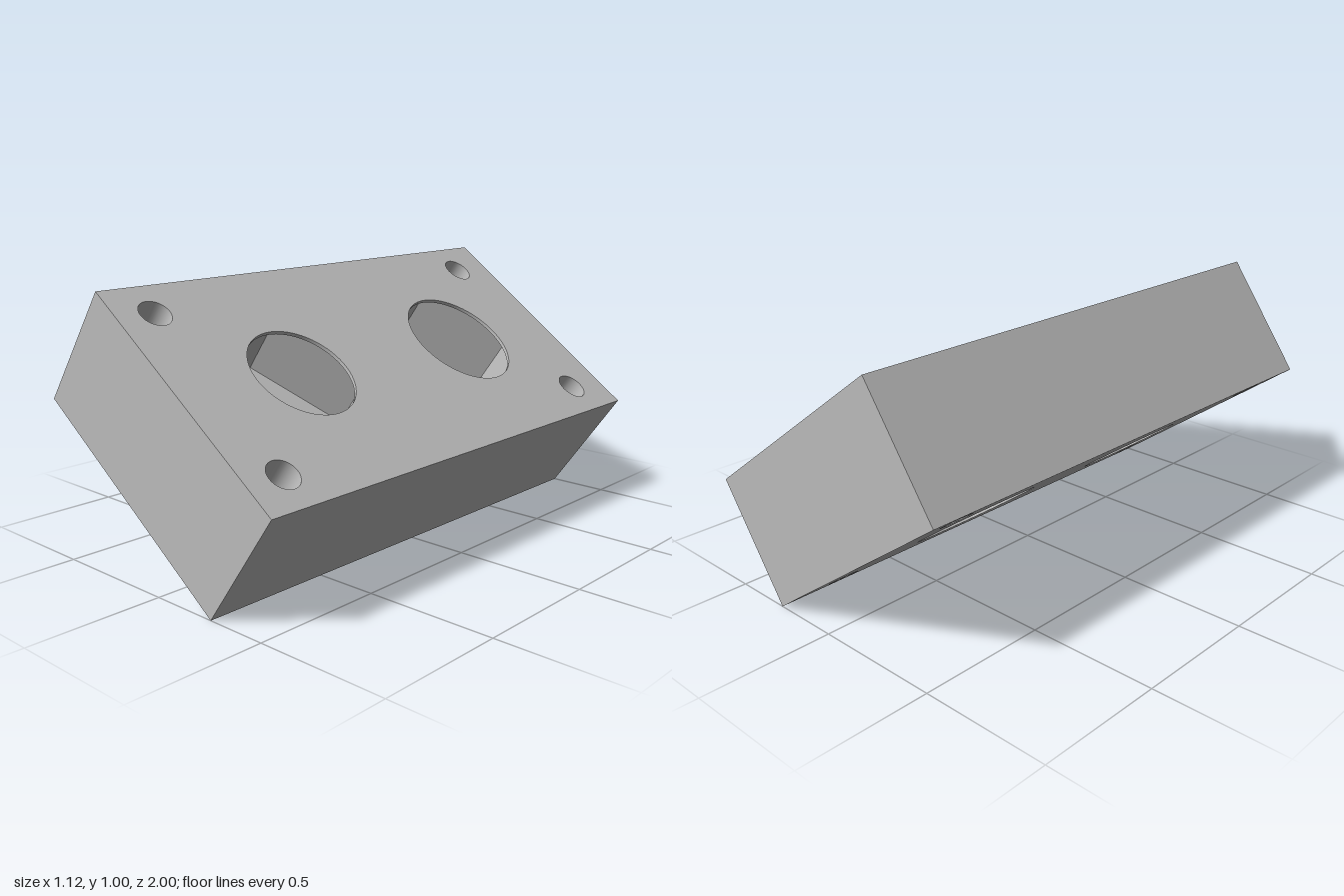
import * as THREE from 'three';

export function createModel() {
  const grey = new THREE.MeshStandardMaterial({ color: 0xbababa });
  grey.name = 'grey';

  const W = 1.014, H = 0.502, L = 2;          // block size before tilting
  const TOP = H / 2, BOTTOM = -H / 2;
  const CEILING = TOP - 0.014, FLOOR = -0.11; // hexagonal pocket levels
  const HEX = 0.41;                           // pocket corner radius
  const bores = [{ z: -0.427, r: 0.23 }, { z: 0.46, r: 0.205 }];
  const bolts = [];
  for (const x of [-0.372, 0.372]) for (const z of [-0.805, 0.845]) bolts.push({ x, z, r: 0.06 });

  const model = new THREE.Group();
  model.name = 'tiltedBlock';
  const block = new THREE.Group();
  block.name = 'block';
  block.position.y = 0.5;
  block.rotation.z = -Math.atan2(0.59, 0.824);
  model.add(block);

  const add = (name, geometry, x = 0, y = 0, z = 0) => {
    const mesh = new THREE.Mesh(geometry, grey);
    mesh.name = name;
    mesh.position.set(x, y, z);
    block.add(mesh);
  };

  // Points of a regular outline with its first corner on the z axis
  const ring = (x, z, r, sides) => Array.from({ length: sides }, (_, i) => {
    const a = (i / sides) * Math.PI * 2;
    return new THREE.Vector2(x + r * Math.sin(a), z + r * Math.cos(a));
  });

  // Flat face with openings, looking up or down
  const face = (name, outline, holes, y, up) => {
    const flip = (pts) => pts.map((p) => new THREE.Vector2(p.x, up ? -p.y : p.y));
    const shape = new THREE.Shape(flip(outline));
    shape.holes = holes.map((h) => new THREE.Path(flip(h)));
    add(name, new THREE.ShapeGeometry(shape).rotateX(up ? -Math.PI / 2 : Math.PI / 2), 0, y, 0);
  };

  // Inward-facing wall of a hole
  const wall = (name, x, z, r, high, low, sides) => {
    let g = new THREE.LatheGeometry([new THREE.Vector2(r, high), new THREE.Vector2(r, low)], sides);
    if (sides === 6) {
      g = g.toNonIndexed();
      g.computeVertexNormals();
    }
    add(name, g, x, 0, z);
  };

  // Four outer sides of the block
  const sides = new THREE.BoxGeometry(W, H, L);
  const index = Array.from(sides.index.array);
  sides.setIndex([...index.slice(0, 12), ...index.slice(24, 36)]);
  sides.clearGroups();
  add('outerSides', sides);

  // Pierced top and bottom faces
  const rect = [[-1, -1], [1, -1], [1, 1], [-1, 1]].map(([x, z]) => new THREE.Vector2(x * W / 2, z * L / 2));
  const openings = [
    ...bores.map((b) => ring(0, b.z, b.r, 64)),
    ...bolts.map((b) => ring(b.x, b.z, b.r, 32)),
  ];
  face('topFace', rect, openings, TOP, true);
  face('bottomFace', rect, openings, BOTTOM, false);

  // Round bores, each with a hexagonal pocket under a thin lip
  for (const { z, r } of bores) {
    const hex = ring(0, z, HEX, 6), circle = ring(0, z, r, 64);
    wall('lipWall', 0, z, r, TOP, CEILING, 64);
    face('pocketCeiling', hex, [circle], CEILING, false);
    wall('pocketWall', 0, z, HEX, CEILING, FLOOR, 6);
    face('pocketFloor', hex, [circle], FLOOR, true);
    wall('boreWall', 0, z, r, FLOOR, BOTTOM, 64);
  }

  // Bolt holes through the corners
  for (const { x, z, r } of bolts) wall('boltHole', x, z, r, TOP, BOTTOM, 32);

  return model;
}
